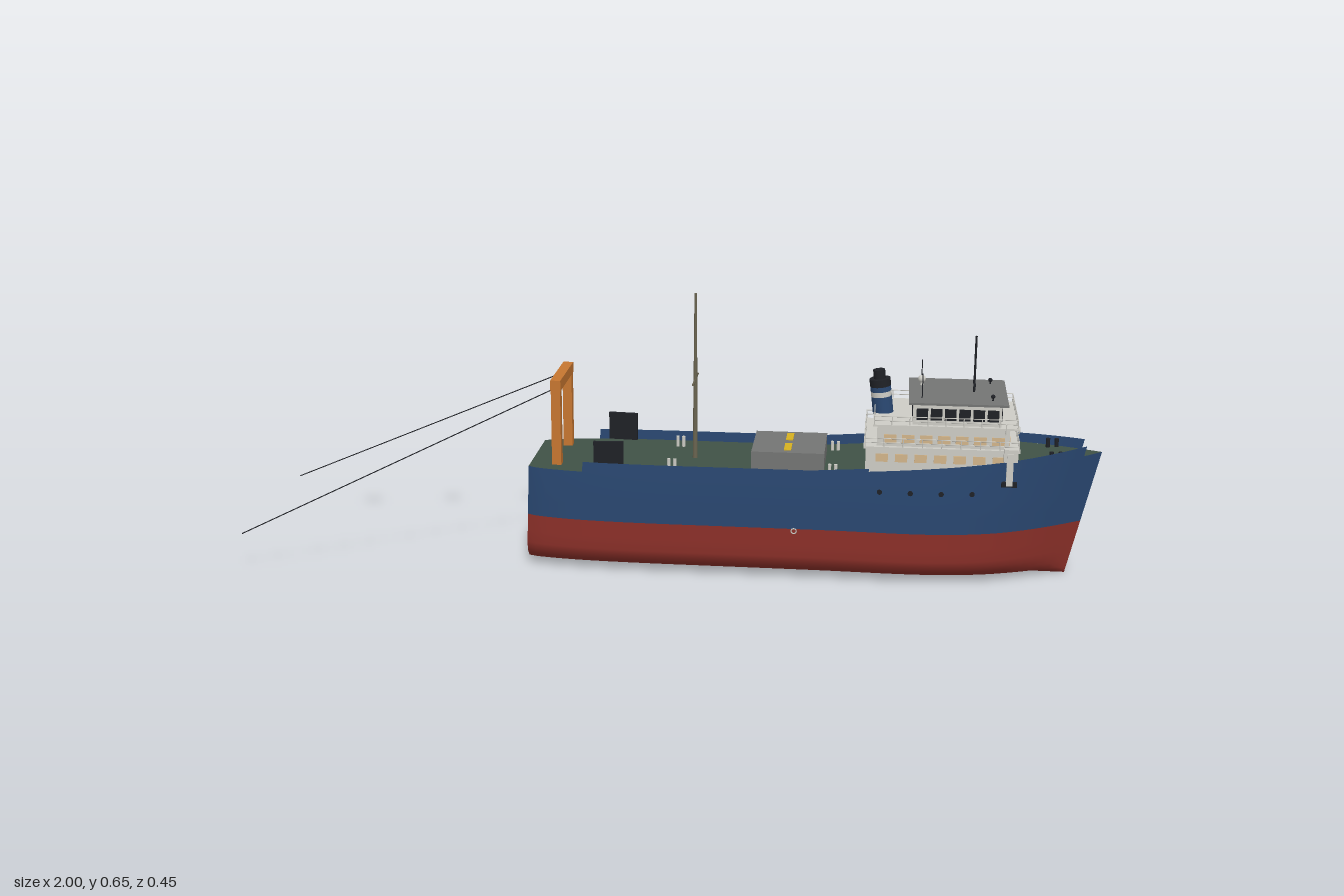
import * as THREE from 'three';

const mat = (name, color, side = THREE.FrontSide) => {
  const m = new THREE.MeshStandardMaterial({ color, side });
  m.name = name;
  return m;
};

export function createModel() {
  const blue = mat('hull blue', 0x2a4872, THREE.DoubleSide);
  const red = mat('bottom red', 0x8c3029);
  const green = mat('deck green', 0x405246);
  const white = mat('house white', 0xcdccc5);
  const tan = mat('lit window tan', 0xd2b48a);
  const black = mat('black', 0x1f2126);
  const orange = mat('gantry orange', 0xc67630);
  const grey = mat('roof grey', 0x747574);
  const yellow = mat('marking yellow', 0xd6b021);
  const olive = mat('mast olive', 0x6a6450);

  const model = new THREE.Group();
  model.name = 'trawler';
  const add = (name, geo, m, x = 0, y = 0, z = 0, parent = model) => {
    const mesh = new THREE.Mesh(geo, m);
    mesh.name = name;
    mesh.position.set(x, y, z);
    parent.add(mesh);
    return mesh;
  };
  // box given by its min and max on each axis
  const box = (name, m, x0, x1, y0, y1, z0, z1) =>
    add(name, new THREE.BoxGeometry(x1 - x0, y1 - y0, z1 - z0), m, (x0 + x1) / 2, (y0 + y1) / 2, (z0 + z1) / 2);
  // round bar between two points
  const bar = (name, m, a, b, r, sides = 6) => {
    const p = new THREE.Vector3(...a), q = new THREE.Vector3(...b), d = q.clone().sub(p);
    const mesh = add(name, new THREE.CylinderGeometry(r, r, d.length(), sides), m);
    mesh.position.copy(p).add(q).multiplyScalar(0.5);
    mesh.quaternion.setFromUnitVectors(new THREE.Vector3(0, 1, 0), d.normalize());
  };

  // ---- Hull form: half breadth along the length, section fraction by height
  const lookup = (table, t) => {
    let i = 1;
    while (i < table.length - 1 && table[i][0] < t) i++;
    const [a, b] = [table[i - 1], table[i]];
    return a[1] + (b[1] - a[1]) * THREE.MathUtils.clamp((t - a[0]) / (b[0] - a[0]), 0, 1);
  };
  const beam = new THREE.SplineCurve([[0, 0.106], [0.025, 0.12], [0.1, 0.136], [0.21, 0.143], [0.38, 0.143], [0.55, 0.143],
    [0.69, 0.148], [0.775, 0.14], [0.85, 0.115], [0.925, 0.066], [1, 0]].map(p => new THREE.Vector2(...p)))
    .getPoints(80).map(p => [p.x, p.y]);
  const section = [[0, 0], [0.008, 0.36], [0.015, 0.68], [0.03, 0.85], [0.045, 0.93], [0.06, 0.965], [0.13, 0.975], [0.21, 1], [0.4, 1]];
  const sheerTable = [[0, 0.25], [0.5, 0.25], [0.64, 0.263], [0.8, 0.28], [1, 0.3]];
  const sheer = u => lookup(sheerTable, u);
  const hullPoint = (u, y, s) => {
    const x = THREE.MathUtils.lerp(-0.343 + 0.04 * y, 0.93 + 0.233 * y, u);
    return [x, y, s * lookup(beam, u) * lookup(section, y)];
  };
  // surface through rows of points
  const loft = rows => {
    const n = rows[0].length, index = [];
    for (let i = 0; i < rows.length - 1; i++)
      for (let j = 0; j < n - 1; j++) {
        const a = i * n + j, b = a + n;
        index.push(a, b, a + 1, b, b + 1, a + 1);
      }
    const g = new THREE.BufferGeometry();
    g.setAttribute('position', new THREE.Float32BufferAttribute(rows.flat(2), 3));
    g.setIndex(index);
    g.computeVertexNormals();
    return g;
  };
  const steps = (a, b, n) => Array.from({ length: n + 1 }, (_, i) => a + (b - a) * i / n);
  const stations = steps(0, 1, 60);
  const low = [0, 0.008, 0.015, 0.03, 0.045, 0.06, 0.09, 0.13];
  const high = u => [0.13, 0.17, 0.21, sheer(u)];

  add('hullBottom', loft(stations.map(u => [
    ...low.slice(1).reverse().map(y => hullPoint(u, y, -1)), ...low.map(y => hullPoint(u, y, 1))])), red);
  add('hullSideLeft', loft(stations.map(u => high(u).map(y => hullPoint(u, y, 1)))), blue);
  add('hullSideRight', loft(stations.map(u => high(u).reverse().map(y => hullPoint(u, y, -1)))), blue);
  add('deck', loft(stations.map(u => [hullPoint(u, sheer(u), 1), hullPoint(u, sheer(u), -1)])), green);
  const transom = ys => loft(ys.map(y => [hullPoint(0, y, 1), hullPoint(0, y, -1)]));
  add('transomBottom', transom(low), red);
  add('transomTop', transom(high(0)), blue);
  for (const y of [0.17, 0.2]) box('transomRib', black, -0.342, -0.333, y, y + 0.004, -0.06, 0.06);

  for (const s of [1, -1]) {
    // bulwarks, with a gap at the stem
    const wall = (name, u0, u1, h0, h1) => add(name, loft(steps(u0, u1, 30).map((u, i) => {
      const h = h0 + (h1 - h0) * i / 30;
      const foot = hullPoint(u, sheer(u), s), top = hullPoint(u, sheer(u) + h, s);
      return s > 0 ? [foot, top] : [top, foot];
    })), blue);
    wall('aftBulwark', 0.1, 0.6, 0.024, 0.025);
    wall('foreBulwark', 0.595, 0.968, 0.018, 0.024);

    // portholes and load mark
    for (const x of [0.49, 0.56, 0.63, 0.7]) {
      const p = hullPoint((x + 0.334) / 1.318, 0.23, s);
      add('porthole', new THREE.CylinderGeometry(0.006, 0.006, 0.005, 12).rotateX(Math.PI / 2), black, ...p);
    }
    add('loadMark', new THREE.TorusGeometry(0.006, 0.0015, 5, 12), white, 0.295, 0.125, s * 0.14);

    // anchor hung on the bow side
    box('anchorShank', white, 0.775, 0.79, 0.25, 0.325, s * 0.124 - 0.008, s * 0.124 + 0.008);
    box('anchorHead', white, 0.768, 0.8, 0.305, 0.335, s * 0.116 - 0.012, s * 0.116 + 0.012);
    box('anchorFluke', black, 0.765, 0.8, 0.247, 0.258, s * 0.126 - 0.005, s * 0.126 + 0.005);

    // trawl doors, bollards, towing wires
    const door = box('trawlDoor', black, -0.175, -0.105, 0.255, 0.322, s * 0.123 - 0.004, s * 0.123 + 0.004);
    door.rotation.y = s * 0.08;
    for (const x of [0.005, 0.38])
      for (const dx of [-0.007, 0.007])
        add('bollard', new THREE.CylinderGeometry(0.004, 0.004, 0.026, 10), white, x + dx, 0.263, s * 0.093);
    for (const x of [0.88, 0.9])
      add('foreBollard', new THREE.CylinderGeometry(0.005, 0.005, 0.025, 10), black, x, 0.3, s * 0.055);
    bar('towingWire', black, [-0.27, 0.435, s * 0.08], [-1, 0.095, s * 0.224], 0.0013, 5);

    // gantry leg
    box('gantryLeg', orange, -0.28, -0.258, 0.25, 0.435, s * 0.079 - 0.011, s * 0.079 + 0.011);
    add('gantryBlock', new THREE.CylinderGeometry(0.01, 0.01, 0.01, 12).rotateX(Math.PI / 2), black, -0.272, 0.425, s * 0.06);
  }
  box('gantryBeam', orange, -0.281, -0.257, 0.43, 0.455, -0.09, 0.09);

  // ---- Cargo hatch with markings
  box('hatch', grey, 0.19, 0.36, 0.25, 0.298, -0.086, 0.086);
  for (const z of [-0.042, 0.042]) box('hatchMark', yellow, 0.265, 0.282, 0.298, 0.3, z - 0.027, z + 0.027);

  // ---- Main mast
  add('mast', new THREE.CylinderGeometry(0.003, 0.006, 0.4, 10), olive, 0.05, 0.452, 0);
  bar('mastYard', olive, [0.05, 0.445, -0.055], [0.05, 0.445, 0.055], 0.0025);

  // ---- Deckhouse tiers and wheelhouse
  box('lowerHouse', white, 0.455, 0.79, 0.25, 0.325, -0.112, 0.112);
  box('boatDeck', white, 0.45, 0.805, 0.325, 0.33, -0.12, 0.12);
  box('middleHouse', white, 0.48, 0.78, 0.33, 0.378, -0.11, 0.11);
  box('bridgeDeck', white, 0.47, 0.8, 0.378, 0.382, -0.118, 0.118);
  box('wheelhouse', white, 0.56, 0.76, 0.382, 0.43, -0.107, 0.107);
  box('wheelhouseRoof', grey, 0.55, 0.775, 0.43, 0.435, -0.113, 0.113);

  // rows of thin window plates across the ends and along the sides
  const endRow = (name, m, x, n, half, y0, y1, gap) => {
    const w = 2 * half / n;
    for (let i = 0; i < n; i++)
      box(name, m, x - 0.002, x + 0.002, y0, y1, -half + i * w + gap, -half + (i + 1) * w - gap);
  };
  const sideRow = (name, m, z, n, x0, x1, y0, y1, gap) => {
    const w = (x1 - x0) / n;
    for (const s of [1, -1])
      for (let i = 0; i < n; i++)
        box(name, m, x0 + i * w + gap, x0 + (i + 1) * w - gap, y0, y1, s * z - 0.002, s * z + 0.002);
  };
  endRow('bridgeWindow', black, 0.76, 7, 0.103, 0.394, 0.421, 0.002);
  endRow('bridgeRearWindow', black, 0.56, 5, 0.09, 0.396, 0.421, 0.004);
  sideRow('bridgeSideWindow', black, 0.107, 6, 0.565, 0.757, 0.394, 0.421, 0.003);
  endRow('cabinWindow', tan, 0.78, 7, 0.103, 0.337, 0.356, 0.003);
  sideRow('cabinSideWindow', tan, 0.11, 7, 0.49, 0.775, 0.337, 0.358, 0.006);
  sideRow('lowerSideWindow', tan, 0.112, 7, 0.47, 0.78, 0.293, 0.312, 0.008);
  endRow('houseDoor', tan, 0.79, 2, 0.1, 0.305, 0.322, 0.04);

  // ---- Railings round the open decks
  const railing = (x0, x1, half, y, h) => {
    for (const s of [1, -1]) {
      for (const k of [0.5, 1]) bar('handrail', white, [x0, y + h * k, s * half], [x1, y + h * k, s * half], 0.0012, 5);
      for (const x of steps(x0, x1, 8)) bar('railPost', white, [x, y, s * half], [x, y + h, s * half], 0.0012, 5);
    }
    for (const x of [x0, x1]) {
      for (const k of [0.5, 1]) bar('handrail', white, [x, y + h * k, -half], [x, y + h * k, half], 0.0012, 5);
      for (const z of steps(-half, half, 6)) bar('railPost', white, [x, y, z], [x, y + h, z], 0.0012, 5);
    }
  };
  railing(0.453, 0.802, 0.118, 0.33, 0.02);
  railing(0.473, 0.797, 0.116, 0.382, 0.02);
  for (const s of [1, -1]) {
    bar('wingBracket', white, [0.77, 0.37, s * 0.11], [0.77, 0.37, s * 0.129], 0.0015);
    bar('wingLight', white, [0.77, 0.37, s * 0.129], [0.77, 0.395, s * 0.129], 0.0015);
    add('lifeRing', new THREE.TorusGeometry(0.007, 0.002, 6, 14).rotateY(Math.PI / 2), white, 0.8, 0.378, s * 0.113);
    // searchlights and whip aerials
    bar('searchlightPost', black, [0.74, 0.435, s * 0.075], [0.74, 0.443, s * 0.075], 0.002);
    add('searchlight', new THREE.SphereGeometry(0.005, 10, 8), black, 0.74, 0.445, s * 0.075);
    bar('whipAerial', black, [0.58, 0.435, s * 0.067], [0.58, 0.492, s * 0.067], 0.0013);
  }

  // ---- Roof gear
  bar('aerialMast', black, [0.7, 0.435, 0], [0.7, 0.568, 0], 0.0025, 8);
  bar('radarScanner', black, [0.7, 0.455, -0.025], [0.7, 0.455, 0.025], 0.003);
  add('radomePost', new THREE.CylinderGeometry(0.003, 0.004, 0.012, 8), white, 0.58, 0.439, -0.048);
  add('radome', new THREE.SphereGeometry(0.009, 16, 12), white, 0.58, 0.45, -0.048);

  // ---- Raked funnel with bands
  const funnel = new THREE.Group();
  funnel.name = 'funnel';
  funnel.position.set(0.492, 0.378, 0);
  funnel.rotation.z = 0.12;
  model.add(funnel);
  const band = (name, m, r, y0, y1) =>
    add(name, new THREE.CylinderGeometry(r, r, y1 - y0, 20), m, 0, (y0 + y1) / 2, 0, funnel);
  band('funnelBase', blue, 0.024, 0, 0.042);
  band('funnelStripe', white, 0.0242, 0.042, 0.054);
  band('funnelBand', blue, 0.024, 0.054, 0.066);
  band('funnelTop', black, 0.0245, 0.066, 0.084);
  band('funnelPipe', black, 0.014, 0.084, 0.105);

  return model;
}
